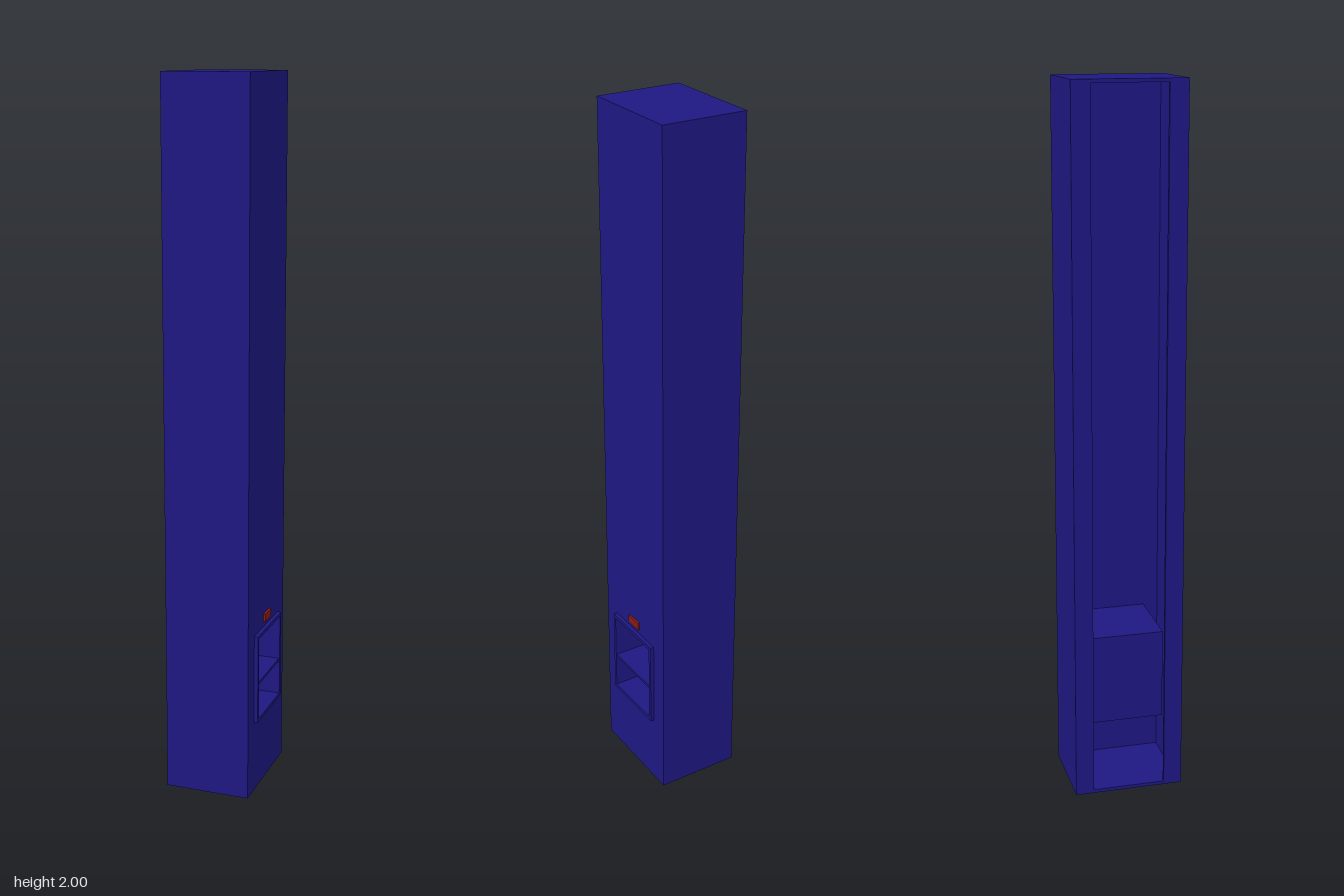
import * as THREE from 'three';

const blue = new THREE.MeshStandardMaterial({ color: 0x1e1882 });
const red = new THREE.MeshStandardMaterial({ color: 0x8c1a14 });

// Box given by its minimum and maximum corners
function box(name, [x0, y0, z0], [x1, y1, z1], material = blue) {
  const mesh = new THREE.Mesh(new THREE.BoxGeometry(x1 - x0, y1 - y0, z1 - z0), material);
  mesh.position.set((x0 + x1) / 2, (y0 + y1) / 2, (z0 + z1) / 2);
  mesh.name = name;
  return mesh;
}

function rectangle(Type, halfWidth, bottom, top) {
  return new Type([
    new THREE.Vector2(-halfWidth, bottom), new THREE.Vector2(halfWidth, bottom),
    new THREE.Vector2(halfWidth, top), new THREE.Vector2(-halfWidth, top),
  ]);
}

// Upright panel in the z-y plane with a rectangular opening, from x0 to x1
function openPanel(name, x0, x1, outer, inner) {
  const shape = rectangle(THREE.Shape, ...outer);
  shape.holes.push(rectangle(THREE.Path, ...inner));
  const geometry = new THREE.ExtrudeGeometry(shape, { depth: x1 - x0, bevelEnabled: false });
  geometry.rotateY(Math.PI / 2).translate(x0, 0, 0);
  const mesh = new THREE.Mesh(geometry, blue);
  mesh.name = name;
  return mesh;
}

export function createModel() {
  const model = new THREE.Group();
  model.name = 'serviceShaft';

  const back = -0.128, front = 0.116, side = 0.156, height = 2, t = 0.01;
  const slot = 0.104;                       // half width of the tall rear opening
  const bottom = 0.21, top = 0.47;          // cabinet height range
  const cabinetBack = -0.104, cabinetFront = 0.127;

  // Shaft shell: floor, roof, side walls and the strips beside the rear slot
  const shaft = new THREE.Group();
  shaft.name = 'shaft';
  shaft.add(box('floor', [back, 0, -side], [front, t, side]));
  shaft.add(box('roof', [back, height - t, -side], [front, height, side]));
  for (const s of [-1, 1]) {
    const zs = (a, b) => [Math.min(s * a, s * b), Math.max(s * a, s * b)];
    const [w0, w1] = zs(side - t, side);
    shaft.add(box('sideWall', [back, t, w0], [front, height - t, w1]));
    const [r0, r1] = zs(slot, side - t);
    shaft.add(box('rearStrip', [back, t, r0], [back + t, height - t, r1]));
  }
  // Wall that the cabinet passes through
  shaft.add(openPanel('hatchWall', front - t, front,
    [side - t, t, height - t], [slot, bottom, top]));
  model.add(shaft);

  // Cabinet: open sleeve, closed back and a middle shelf
  const cabinet = new THREE.Group();
  cabinet.name = 'cabinet';
  cabinet.add(openPanel('cabinetSleeve', cabinetBack + t, cabinetFront,
    [slot, bottom, top], [slot - t, bottom + t, top - t]));
  cabinet.add(box('cabinetBack', [cabinetBack, bottom, -slot], [cabinetBack + t, top, slot]));
  cabinet.add(box('shelf', [cabinetBack + t, 0.321, t - slot], [cabinetFront - 0.002, 0.329, slot - t]));
  model.add(cabinet);

  // Call button above the hatch
  model.add(box('callButton', [front, 0.486, -0.026], [front + 0.006, 0.508, 0.026], red));

  return model;
}
